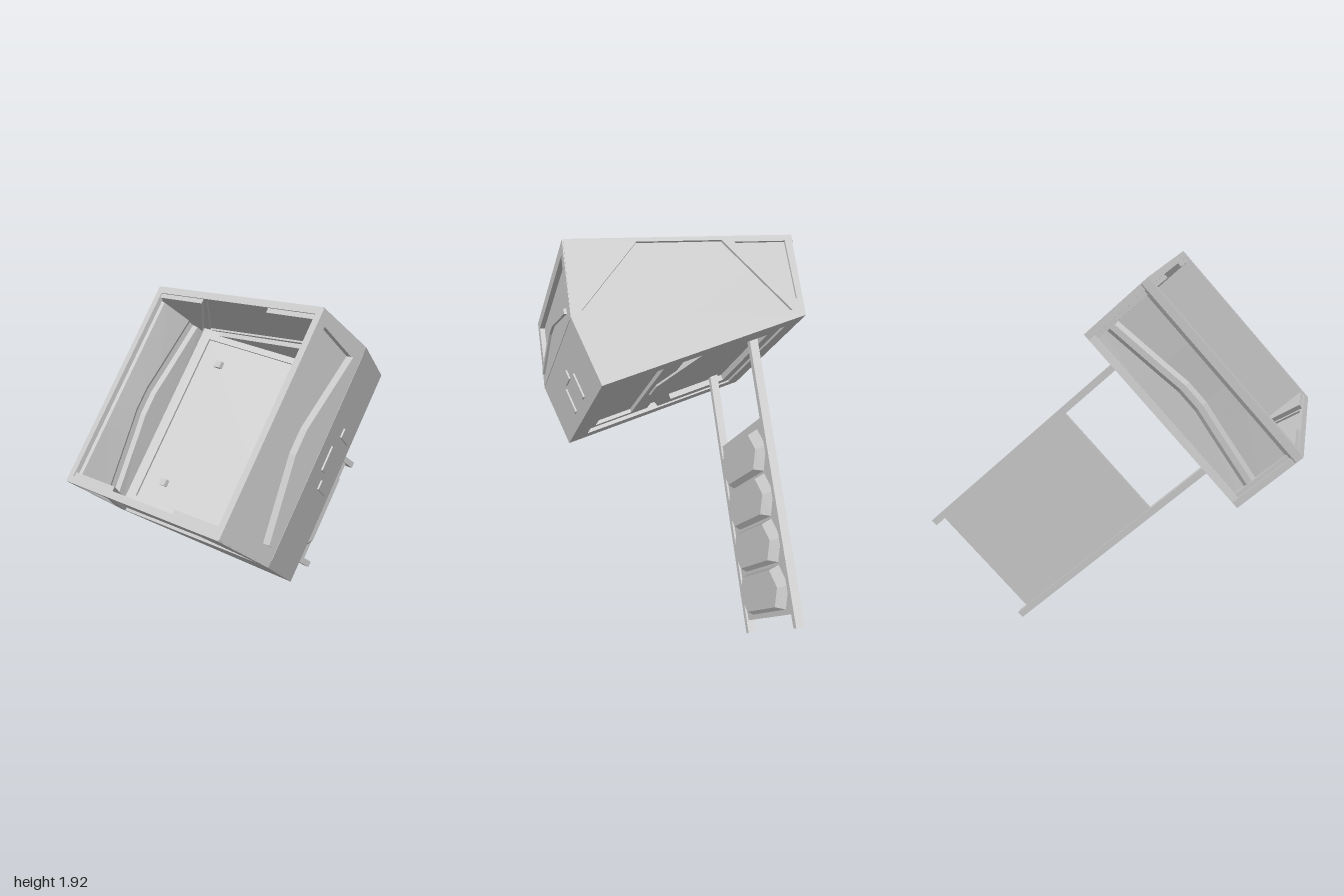
import * as THREE from 'three';

const material = new THREE.MeshStandardMaterial({
  color: 0xcccccc, flatShading: true, side: THREE.DoubleSide,
});

const toPoints = (list) => list.map(([x, y]) => new THREE.Vector2(x, y));

// Flat plate from an outline, with optional holes
function plate(outline, depth, holes = []) {
  const shape = new THREE.Shape(toPoints(outline));
  holes.forEach((h) => shape.holes.push(new THREE.Path(toPoints(h))));
  return new THREE.ExtrudeGeometry(shape, { depth, bevelEnabled: false });
}

const rect = (x0, x1, y0, y1) => [[x0, y0], [x1, y0], [x1, y1], [x0, y1]];

function add(parent, name, geometry) {
  const mesh = new THREE.Mesh(geometry, material);
  mesh.name = name;
  parent.add(mesh);
  return mesh;
}

// Group whose plane is spanned by two directions
function plane(parent, name, origin, xDir, yDir) {
  const g = new THREE.Group();
  g.name = name;
  const x = new THREE.Vector3(...xDir).normalize();
  const y = new THREE.Vector3(...yDir).normalize();
  const z = new THREE.Vector3().crossVectors(x, y);
  g.quaternion.setFromRotationMatrix(new THREE.Matrix4().makeBasis(x, y, z));
  g.position.set(...origin);
  parent.add(g);
  return g;
}

function indexed(points, index) {
  const geometry = new THREE.BufferGeometry();
  geometry.setAttribute('position', new THREE.Float32BufferAttribute(points.flat(), 3));
  geometry.setIndex(index);
  geometry.computeVertexNormals();
  return geometry;
}

// Long six-sided rib that narrows slightly towards its top
function ribGeometry(halfLength, halfWidth, height) {
  const ring = (l, w, tip, z) => [
    [-l, 0, z], [-l + tip, -w, z], [l - tip, -w, z],
    [l, 0, z], [l - tip, w, z], [-l + tip, w, z],
  ];
  const base = ring(halfLength, halfWidth, 0.08, 0);
  const top = ring(halfLength - 0.045, halfWidth - 0.017, 0.07, height);
  const index = [];
  for (let i = 0; i < 6; i++) {
    const j = (i + 1) % 6;
    index.push(i, j, 6 + j, i, 6 + j, 6 + i);
    if (i > 0 && i < 5) index.push(6, 6 + i, 7 + i);
  }
  return indexed([...base, ...top], index);
}

// Pressed sheet: long creases that bow towards the rim halfway along
function creasedSheet() {
  const profile = [[0, 0, 0], [-0.04, 0, 0], [-0.06, 0.015, 0], [-0.25, 0.03, 0.07],
    [-0.27, 0.015, 0.07], [-0.3, 0.015, 0.07], [-0.32, 0.03, 0.07], [-0.37, 0.025, 0], [-0.4, 0, 0]];
  const stations = [-0.535, -0.2, -0.06, 0.06, 0.2, 0.535];
  const points = [];
  const index = [];
  const n = profile.length;
  stations.forEach((v, i) => {
    const bow = Math.max(0, 1 - Math.max(0, Math.abs(v) - 0.06) / 0.45);
    profile.forEach(([w, depth, shift], j) => {
      points.push([v, w + shift * bow, -depth]);
      if (i && j) {
        const a = i * n + j;
        index.push(a - n - 1, a - n, a, a - n - 1, a, a - 1);
      }
    });
  });
  return indexed(points, index);
}

export function createModel() {
  const model = new THREE.Group();
  model.name = 'tiltedPod';

  // Tilted frame: x and y run along the open rim, z out of the opening
  const body = plane(model, 'body', [-0.155, 1.455, 0.345],
    [0.738, 0.103, 0.668], [0.373, 0.755, -0.543]);
  const T = 0.035;

  // Two end walls: folded outline, sunken middle, thick wedges inside
  const endOutline = [[-0.535, 0], [-0.54, -0.4], [0.44, -0.675], [0.54, -0.36], [0.535, 0]];
  const endHoles = [
    [[-0.19, -0.02], [0.21, -0.02], [0.49, -0.335], [-0.48, -0.375]],
    [[-0.5, -0.03], [-0.25, -0.03], [-0.51, -0.32]],
  ];
  const wedges = [
    [[-0.53, -0.006], [-0.2, -0.006], [-0.53, -0.375]],
    [[0.53, -0.006], [0.53, -0.35], [0.225, -0.006]],
    [[-0.5, -0.385], [0.43, -0.64], [0.525, -0.355]],
  ];
  const endPanel = endOutline.map(([a, b]) => [a * 0.98, b * 0.98 - 0.005]);
  for (const [name, y, out] of [['upperEndWall', 0.54, 1], ['lowerEndWall', -0.54 + T, -1]]) {
    const wall = plane(body, name, [0, y, 0], [1, 0, 0], [0, 0, 1]);
    add(wall, 'endFrame', plate(endOutline, T, endHoles));
    add(wall, 'endPanel', plate(endPanel, 0.01)).position.z = out > 0 ? 0.015 : 0.01;
    for (const wedge of wedges) {
      add(wall, 'endWedge', plate(wedge, 0.045)).position.z = out > 0 ? 0.013 : T - 0.058;
    }
  }

  // Outer side wall with a chevron-edged recess and a ridge along it
  const chevron = [[0.455, -0.29], [0.06, -0.205], [-0.06, -0.205], [-0.455, -0.29]];
  const ridge = [...chevron, ...chevron.map(([a, b]) => [a, b - 0.025]).reverse()];
  const side = plane(body, 'outerSideWall', [0.54 - T, 0, 0], [0, 1, 0], [0, 0, 1]);
  add(side, 'sideFrame', plate(rect(-0.535, 0.535, -0.36, 0), T,
    [[[-0.475, -0.05], [0.475, -0.05], ...chevron]]));
  add(side, 'sidePanel', plate(rect(-0.5, 0.5, -0.32, -0.02), 0.008)).position.z = 0.002;
  add(side, 'chevronRidge', plate(ridge, 0.015)).position.z = T - 0.002;

  // Opposite side wall: creased sheet with a rim strip
  const inner = plane(body, 'innerSideWall', [-0.54, 0, 0], [0, -1, 0], [0, 0, 1]);
  add(inner, 'creasedSheet', creasedSheet());
  add(inner, 'rimStrip', plate(rect(-0.535, 0.535, -0.025, 0), T)).position.z = -T;

  // Leaning skirt below the outer side wall, with three low bars
  const skirt = plane(body, 'skirt', [0.44, 0, -0.675], [0, 1, 0], [0.1, 0, 0.315]);
  add(skirt, 'skirtPanel', plate(rect(-0.537, 0.537, 0, 0.327), T)).position.z = -T;
  for (const [v, s, w, h] of [[0.023, 0.205, 0.12, 0.045], [0.168, 0.115, 0.045, 0.12], [-0.094, 0.115, 0.045, 0.12]]) {
    add(skirt, 'skirtBar', new THREE.BoxGeometry(w, h, 0.02)).position.set(v, s, -0.002);
  }

  // Sloping floor: frame, sheet, rectangular border and chevron plate
  const floor = plane(body, 'floor', [0.44, 0, -0.675], [0, 1, 0], [-0.98, 0, 0.275]);
  add(floor, 'floorFrame', plate(rect(-0.535, 0.535, 0, 1.018), 0.04,
    [rect(-0.45, 0.45, 0.09, 0.94)]));
  add(floor, 'floorSheet', plate(rect(-0.5, 0.5, 0.03, 0.99), 0.006)).position.z = 0.036;
  add(floor, 'floorBorder', plate(rect(-0.44, 0.44, 0.1, 0.44), 0.02,
    [rect(-0.4, 0.4, 0.135, 0.34)])).position.z = 0.017;
  add(floor, 'floorChevron', plate(
    [[-0.44, 0.5], [-0.08, 0.37], [0.08, 0.37], [0.44, 0.53], [0.44, 0.93], [-0.44, 0.93]], 0.03,
    [[[-0.37, 0.56], [-0.06, 0.46], [0.06, 0.46], [0.37, 0.58], [0.37, 0.88], [-0.37, 0.88]]],
  )).position.z = 0.007;
  add(floor, 'floorInnerBorder', plate(rect(-0.5, 0.5, 0.04, 0.985), 0.012,
    [rect(-0.45, 0.45, 0.09, 0.94)])).position.z = 0.041;

  // Two long rails passing through the floor
  const ramp = plane(body, 'ramp', [-0.34, 0, 0], [0, 1, 0], [0, 0, 1]);
  for (const s of [-1, 1]) {
    add(ramp, 'rail', new THREE.BoxGeometry(0.035, 1.376, 0.04))
      .position.set(s * 0.335, -1.084, 0);
  }

  // Ribbed panel held between the rails
  add(ramp, 'rampPanel', new THREE.BoxGeometry(0.64, 0.9, 0.02)).position.y = -1.26;
  const rib = ribGeometry(0.315, 0.1, 0.038);
  for (let i = 0; i < 4; i++) {
    add(ramp, 'rampRib', rib).position.set(0, -0.95 - i * 0.212, 0.01);
  }

  return model;
}
